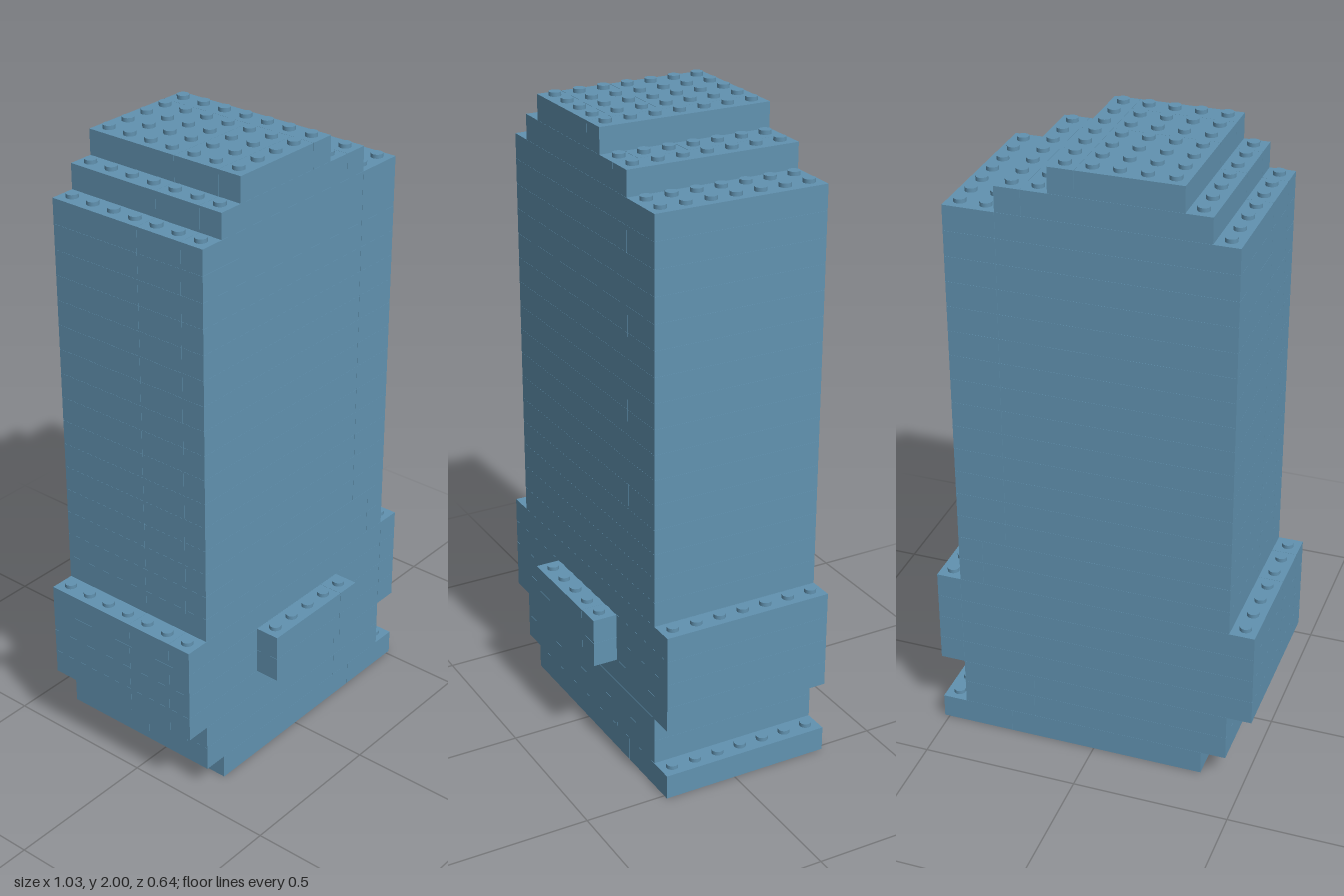
import * as THREE from 'three';

const P = 0.0795;                 // stud pitch and brick height
const STUD_H = 0.0125, STUD_R = 0.0187, GAP = 0.0008;
const X0 = -6.5 * P, Z0 = -4 * P; // grid origin: 13 columns, 8 rows (last row is the balcony)

export function createModel() {
  const model = new THREE.Group();
  const blue = new THREE.MeshStandardMaterial({ color: 0x6192b0 });
  blue.name = 'dusty blue';
  const studGeo = new THREE.CylinderGeometry(STUD_R, STUD_R, STUD_H, 20);

  // One brick, given in stud columns, stud rows and layer
  function brick(parent, x0, x1, z0, z1, layer) {
    const geo = new THREE.BoxGeometry((x1 - x0) * P - GAP, P - GAP / 2, (z1 - z0) * P - GAP);
    const mesh = new THREE.Mesh(geo, blue);
    mesh.name = 'brick';
    mesh.position.set(X0 + (x0 + x1) / 2 * P, (layer + 0.5) * P, Z0 + (z0 + z1) / 2 * P);
    parent.add(mesh);
  }

  // Studs on the exposed top of a layer
  function studs(parent, x0, x1, z0, z1, layer) {
    for (let x = x0; x < x1; x++) {
      for (let z = z0; z < z1; z++) {
        const mesh = new THREE.Mesh(studGeo, blue);
        mesh.name = 'stud';
        mesh.position.set(X0 + (x + 0.5) * P, (layer + 1) * P + STUD_H / 2, Z0 + (z + 0.5) * P);
        parent.add(mesh);
      }
    }
  }

  // Sections: name, first layer, last layer, left column, right column, seam column
  const sections = [
    ['base', 0, 0, 2, 13, 10],
    ['recessedFloor', 1, 2, 1, 12, 9],
    ['wideFloors', 3, 6, 0, 13, 12],
    ['lowerShaft', 7, 8, 1, 12, 11],
    ['shaft', 9, 22, 1, 12, 10],
    ['lowerCrown', 23, 23, 2, 10, 9],
    ['upperCrown', 24, 24, 3, 8, 7],
  ];
  sections.forEach(([name, first, last, x0, x1, seam], i) => {
    const group = new THREE.Group();
    group.name = name;
    for (let layer = first; layer <= last; layer++) {
      brick(group, seam, x1, 0, 7, layer);
      // The left part is split front to back
      brick(group, x0, seam, 0, 4, layer);
      brick(group, x0, seam, 4, 6, layer);
      brick(group, x0, seam, 6, 7, layer);
    }
    // Only the columns not covered by the next section carry studs
    const next = sections[i + 1];
    const n0 = next ? next[3] : x1, n1 = next ? next[4] : x1;
    studs(group, x0, Math.min(n0, x1), 0, 7, last);
    studs(group, Math.max(n1, x0), x1, 0, 7, last);
    model.add(group);
  });

  // Balcony on the front, two bricks high
  const balcony = new THREE.Group();
  balcony.name = 'balcony';
  for (const layer of [4, 5]) {
    brick(balcony, 4, 8, 7, 8, layer);
    brick(balcony, 8, 9, 7, 8, layer);
  }
  studs(balcony, 4, 9, 7, 8, 5);
  model.add(balcony);

  return model;
}
